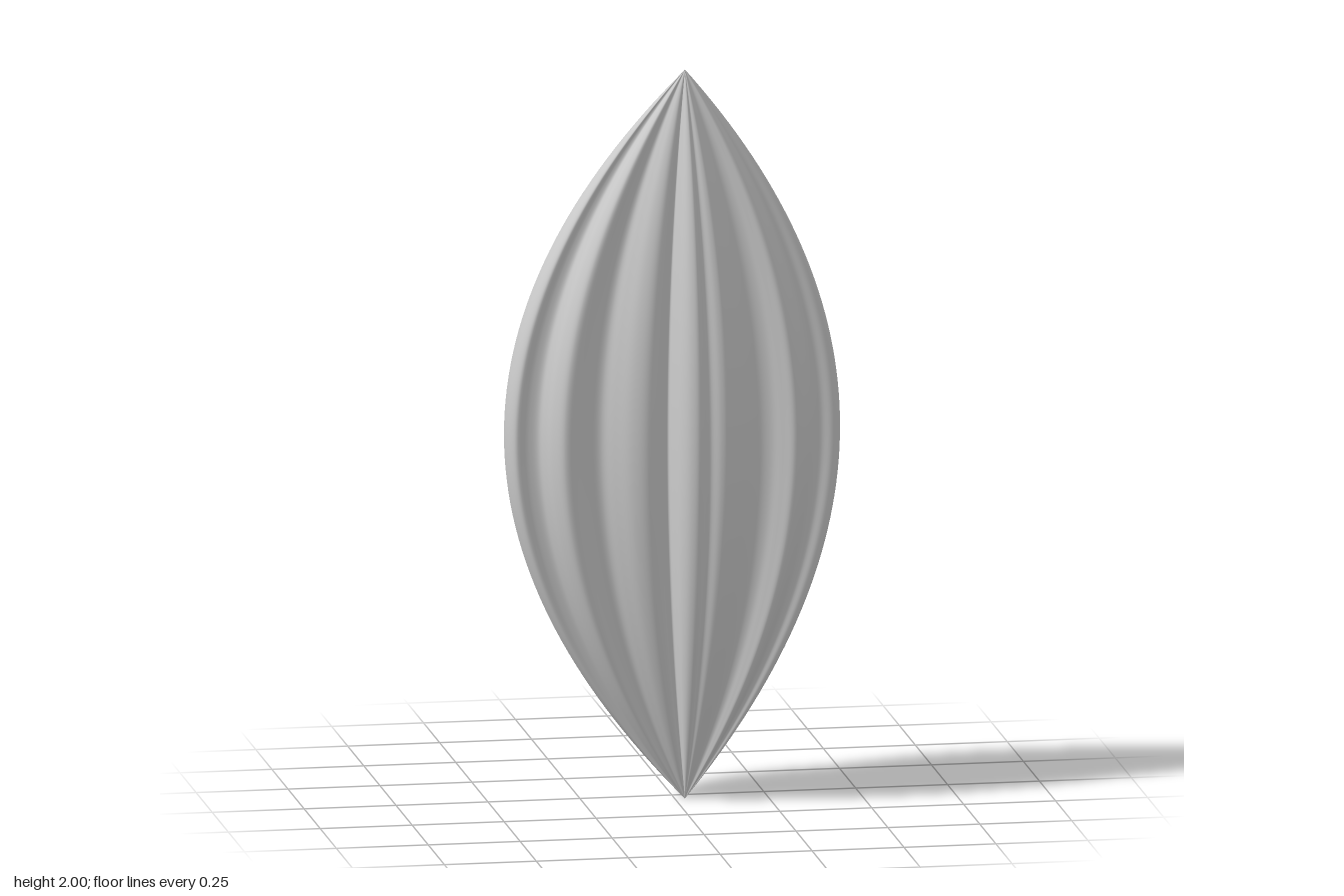
import * as THREE from 'three';

// Rippled mid-height outline as [x, z], running back, left side, front, right side.
const OUTLINE = [
  [-0.01, -0.237], [0.08, -0.23], [0.12, -0.2], [0.18, -0.132], [0.225, -0.085], [0.255, -0.071],
  [0.285, -0.079], [0.315, -0.1], [0.345, -0.122], [0.375, -0.132], [0.41, -0.11], [0.44, -0.05],
  [0.455, 0.005], [0.451, 0.026], [0.43, 0.034], [0.4, 0.031], [0.375, 0.042], [0.355, 0.09],
  [0.335, 0.135], [0.31, 0.149], [0.28, 0.137], [0.25, 0.123], [0.22, 0.121], [0.19, 0.133],
  [0.15, 0.168], [0.12, 0.189], [0.1, 0.19], [0.073, 0.182], [0.06, 0.192], [0.05, 0.222],
  [0.035, 0.233], [0.01, 0.225], [-0.01, 0.2], [-0.021, 0.16], [-0.032, 0.125], [-0.05, 0.14],
  [-0.07, 0.168], [-0.1, 0.178], [-0.14, 0.168], [-0.18, 0.14], [-0.21, 0.119], [-0.235, 0.119],
  [-0.265, 0.131], [-0.295, 0.147], [-0.32, 0.147], [-0.345, 0.12], [-0.36, 0.09], [-0.375, 0.069],
  [-0.405, 0.065], [-0.435, 0.071], [-0.45, 0.05], [-0.455, 0], [-0.44, -0.07], [-0.41, -0.118],
  [-0.375, -0.133], [-0.33, -0.12], [-0.26, -0.107], [-0.21, -0.115], [-0.15, -0.15], [-0.1, -0.197],
  [-0.06, -0.228],
];
const POLE = { x: 0.027, z: 0.05 }; // axis on which both tips lie
const HEIGHT = 2, RINGS = 64, SIDES = OUTLINE.length * 5;

// Scale the outline about the axis by a parabola, tapering to both tips.
function podGeometry() {
  const curve = new THREE.CatmullRomCurve3(
    OUTLINE.map(([x, z]) => new THREE.Vector3(x, 0, z)), true, 'centripetal');
  const section = curve.getPoints(SIDES).slice(0, SIDES);
  const positions = [], index = [];
  for (let i = 0; i <= RINGS; i++) {
    const t = (2 * i) / RINGS - 1;
    const s = 1 - t * t;
    for (const p of section) {
      positions.push(POLE.x + (p.x - POLE.x) * s, (HEIGHT * i) / RINGS, POLE.z + (p.z - POLE.z) * s);
    }
  }
  for (let i = 0; i < RINGS; i++) {
    for (let j = 0; j < SIDES; j++) {
      const k = (j + 1) % SIDES;
      const a = i * SIDES + j, b = i * SIDES + k;
      const c = a + SIDES, d = b + SIDES;
      if (i > 0) index.push(a, c, b);
      if (i < RINGS - 1) index.push(b, c, d);
    }
  }
  const geometry = new THREE.BufferGeometry();
  geometry.setAttribute('position', new THREE.Float32BufferAttribute(positions, 3));
  geometry.setIndex(index);
  geometry.computeVertexNormals();
  return geometry;
}

export function createModel() {
  const group = new THREE.Group();
  group.name = 'ribbedPod';
  const pod = new THREE.Mesh(podGeometry(), new THREE.MeshStandardMaterial({ color: 0xcccccc }));
  pod.name = 'podShell';
  group.add(pod);
  return group;
}
